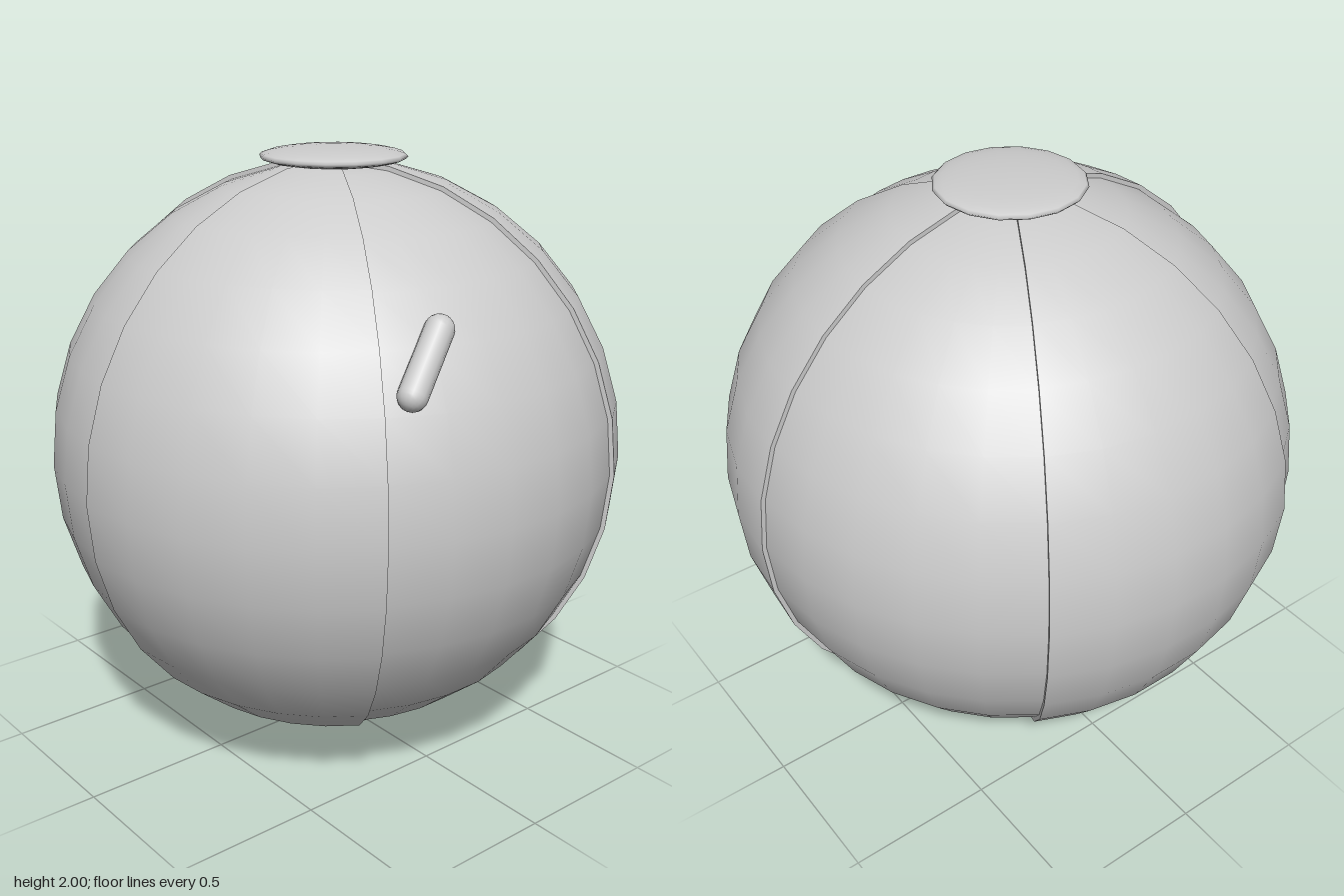
import * as THREE from 'three';

const RAISED = 0.96, LOW = 0.945, ROWS = 16, CENTRE_Y = 1;

export function createModel() {
  const group = new THREE.Group();
  const vinyl = new THREE.MeshStandardMaterial({ color: 0xcccccc, side: THREE.DoubleSide });
  vinyl.name = 'light grey vinyl';

  const add = (name, geometry, x, y, z) => {
    const mesh = new THREE.Mesh(geometry, vinyl);
    mesh.name = name;
    mesh.position.set(x, y, z);
    group.add(mesh);
    return mesh;
  };

  // Six gores, alternately raised and low, with a thin step at every seam
  for (let i = 0; i < 6; i++) {
    const start = i * Math.PI / 3;
    const radius = i % 2 ? LOW : RAISED;
    add('panel' + (i + 1), new THREE.SphereGeometry(radius, 5, ROWS, start, Math.PI / 3), 0, CENTRE_Y, 0);
    const seam = add('seam' + (i + 1),
      new THREE.RingGeometry(LOW - 0.005, RAISED, ROWS, 1, -Math.PI / 2, Math.PI), 0, CENTRE_Y, 0);
    seam.rotation.y = start + Math.PI;
  }

  // Flattened round caps at the poles
  const cap = (name, y, halfHeight) => {
    const geometry = new THREE.SphereGeometry(0.24, 16, 12);
    geometry.scale(1, halfHeight / 0.24, 1);
    add(name, geometry, 0, y, 0);
  };
  cap('topCap', 1.968, 0.032);
  cap('bottomCap', 0.036, 0.036);

  // Valve lying along the surface of the front panel
  const valve = add('valve', new THREE.CapsuleGeometry(0.045, 0.22, 6, 16), -0.285, 1.495, 0.757);
  const axis = new THREE.Vector3(0.15, 0.16, -0.055).normalize();
  valve.quaternion.setFromUnitVectors(new THREE.Vector3(0, 1, 0), axis);

  return group;
}
